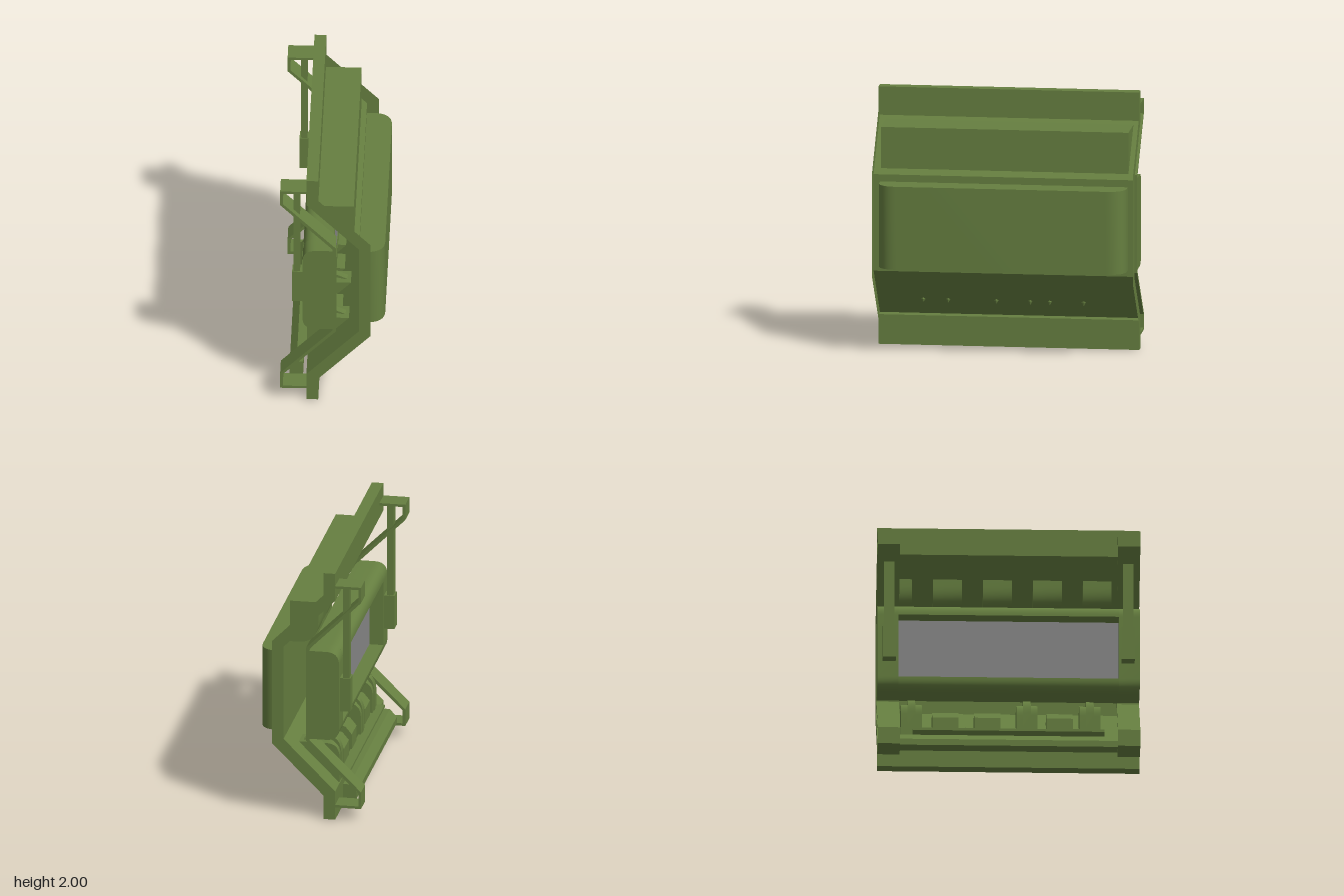
import * as THREE from 'three';
import { toCreasedNormals } from 'three/addons/utils/BufferGeometryUtils.js';

const green = new THREE.MeshStandardMaterial({ color: 0x667f40 });
const greenSheet = new THREE.MeshStandardMaterial({ color: 0x667f40, side: THREE.DoubleSide });
const grey = new THREE.MeshStandardMaterial({ color: 0x888888 });

export function createModel() {
  const model = new THREE.Group();

  const add = (name, geometry, material = green) => {
    const mesh = new THREE.Mesh(geometry, material);
    mesh.name = name;
    model.add(mesh);
    return mesh;
  };
  const polygon = (pts) => new THREE.Shape(pts.map(([x, y]) => new THREE.Vector2(x, y)));

  // Side profile pushed along z
  const extrude = (name, shape, z0, z1) => {
    const geo = new THREE.ExtrudeGeometry(shape, { depth: z1 - z0, bevelEnabled: false, curveSegments: 10 });
    geo.translate(0, 0, z0);
    return add(name, toCreasedNormals(geo, 0.5));
  };
  const box = (name, x0, x1, y0, y1, z0, z1, material) => {
    const geo = new THREE.BoxGeometry(x1 - x0, y1 - y0, z1 - z0);
    geo.translate((x0 + x1) / 2, (y0 + y1) / 2, (z0 + z1) / 2);
    return add(name, geo, material);
  };
  // Folded sheet spanning the full width
  const sheet = (name, pts) => {
    const v = [];
    for (let i = 0; i < pts.length - 1; i++) {
      const [ax, ay] = pts[i], [bx, by] = pts[i + 1];
      v.push(ax, ay, 1, bx, by, 1, bx, by, -1, ax, ay, 1, bx, by, -1, ax, ay, -1);
    }
    const geo = new THREE.BufferGeometry();
    geo.setAttribute('position', new THREE.Float32BufferAttribute(v, 3));
    geo.computeVertexNormals();
    return add(name, geo, greenSheet);
  };

  // Wall: thin folded panel between solid top and bottom beams, with flat end plates
  const outer = [[-0.11, 0], [-0.11, 0.19], [0.29, 0.59], [0.29, 1.42], [-0.11, 1.82], [-0.11, 2]];
  const inner = [[-0.2, 2], [-0.2, 1.78], [0.2, 1.38], [0.2, 0.63], [-0.2, 0.23], [-0.2, 0]];
  sheet('wallPanel', inner.slice(1, 5));
  box('topBeam', -0.2, -0.11, 1.78, 2, -1, 1);
  box('bottomBeam', -0.2, -0.11, 0, 0.23, -1, 1);
  for (const z of [1, -1]) {
    const plate = new THREE.ShapeGeometry(polygon([...outer, ...inner]));
    plate.translate(0, 0, z);
    add('wallEndPlate', plate, greenSheet);
  }

  // Outer case with rounded vertical edges
  const caseShape = new THREE.Shape();
  caseShape.moveTo(0.2, -0.95);
  caseShape.lineTo(0.25, -0.95);
  caseShape.quadraticCurveTo(0.395, -0.95, 0.395, -0.8);
  caseShape.lineTo(0.395, 0.8);
  caseShape.quadraticCurveTo(0.395, 0.95, 0.25, 0.95);
  caseShape.lineTo(0.2, 0.95);
  const caseGeo = new THREE.ExtrudeGeometry(caseShape, { depth: 0.645, bevelEnabled: false, curveSegments: 12 });
  caseGeo.rotateX(-Math.PI / 2).translate(0, 0.68, 0);
  add('outerCase', toCreasedNormals(caseGeo, 0.5));

  // Upper locker and the pods hanging inside it
  extrude('upperLocker', polygon([[-0.16, 1.74], [0.16, 1.415], [0.16, 1.74]]), -0.95, 0.95);
  const pod = new THREE.Shape();
  pod.moveTo(-0.06, 1.64);
  pod.lineTo(-0.06, 1.58);
  pod.quadraticCurveTo(-0.06, 1.41, 0.1, 1.41);
  pod.lineTo(0.17, 1.41);
  for (let i = 0; i < 5; i++) {
    const z = -0.84 + i * 0.38;
    extrude('hangingPod', pod, z - 0.11, z + 0.11);
  }

  // Screen housing: two full ends joined by rounded top and bottom rails
  const housing = new THREE.Shape();
  housing.moveTo(0.005, 0.645);
  housing.lineTo(0.005, 1.36);
  housing.lineTo(-0.13, 1.36);
  housing.quadraticCurveTo(-0.23, 1.36, -0.23, 1.26);
  housing.lineTo(-0.23, 0.745);
  housing.quadraticCurveTo(-0.23, 0.645, -0.13, 0.645);
  extrude('housingEnd', housing, 0.84, 1);
  extrude('housingEnd', housing, -1, -0.84);
  for (const s of [1, -1]) {
    const y = (d) => 1.0025 + s * d;
    const rail = new THREE.Shape();
    rail.moveTo(0.005, y(0.26));
    rail.lineTo(0.005, y(0.3575));
    rail.lineTo(-0.13, y(0.3575));
    rail.quadraticCurveTo(-0.23, y(0.3575), -0.23, y(0.26));
    extrude('housingRail', rail, -0.84, 0.84);
  }
  box('screen', -0.12, 0, 0.742, 1.263, -0.84, 0.84, grey);

  // Bent strap frames, posts and sleeves at both ends
  const strapLeft = [[-0.2, 1.9], [-0.4, 1.9], [-0.4, 1.775], [0, 1.375], [0, 0.635], [-0.4, 0.235], [-0.4, 0.1], [-0.2, 0.1]];
  const strapRight = [[-0.2, 0.12], [-0.38, 0.12], [-0.38, 0.225], [0.025, 0.625], [0.025, 1.385], [-0.38, 1.785], [-0.38, 1.88], [-0.2, 1.88]];
  for (const s of [1, -1]) {
    const span = (a, b) => (s > 0 ? [a, b] : [-b, -a]);
    extrude('strapFrame', polygon([...strapLeft, ...strapRight]), ...span(0.83, 1));
    box('post', -0.3, -0.25, 1.14, 1.88, ...span(0.87, 0.95));
    box('postSleeve', -0.31, -0.23, 0.87, 1.14, ...span(0.86, 0.96));
  }

  // Lower rails
  extrude('footRail', polygon([[-0.335, 0.12], [-0.23, 0.12], [-0.23, 0.23], [-0.28, 0.23], [-0.335, 0.17]]), -0.83, 0.83);
  extrude('shelfRail', polygon([[-0.26, 0.3], [-0.26, 0.28], [-0.23, 0.25], [-0.18, 0.25], [-0.18, 0.3]]), -0.73, 0.73);

  // Stowed rolls with holding bands on the lower slope
  const roll = new THREE.Shape();
  roll.moveTo(-0.195, 0.24);
  roll.lineTo(0.115, 0.55);
  roll.lineTo(-0.1, 0.55);
  roll.quadraticCurveTo(-0.2, 0.55, -0.2, 0.44);
  roll.lineTo(-0.2, 0.24);
  const band = new THREE.Shape();
  band.moveTo(-0.205, 0.25);
  band.lineTo(-0.205, 0.46);
  band.quadraticCurveTo(-0.2, 0.59, -0.1, 0.59);
  band.lineTo(0, 0.59);
  band.lineTo(0.11, 0.54);
  band.lineTo(0, 0.565);
  band.lineTo(-0.1, 0.565);
  band.quadraticCurveTo(-0.18, 0.565, -0.18, 0.46);
  band.lineTo(-0.18, 0.25);
  for (const z of [-0.74, 0.14, 0.62]) {
    extrude('stowedRoll', roll, z - 0.08, z + 0.08);
    extrude('holdingBand', band, z - 0.03, z + 0.03);
  }

  // Chamfered boxes between the rolls
  const chest = polygon([[-0.19, 0.24], [0.06, 0.49], [-0.06, 0.5], [-0.14, 0.48], [-0.19, 0.42]]);
  for (const z of [-0.48, -0.16, 0.39]) extrude('stowedBox', chest, z - 0.1, z + 0.1);

  // Fixing tips showing through the lower slope
  for (const z of [-0.58, -0.32, -0.17, 0.09, 0.46, 0.65]) {
    const tip = add('fixingTip', new THREE.OctahedronGeometry(0.03));
    tip.scale.set(0.5, 1, 0.6);
    tip.position.set(-0.06, 0.37, z);
  }
  return model;
}
